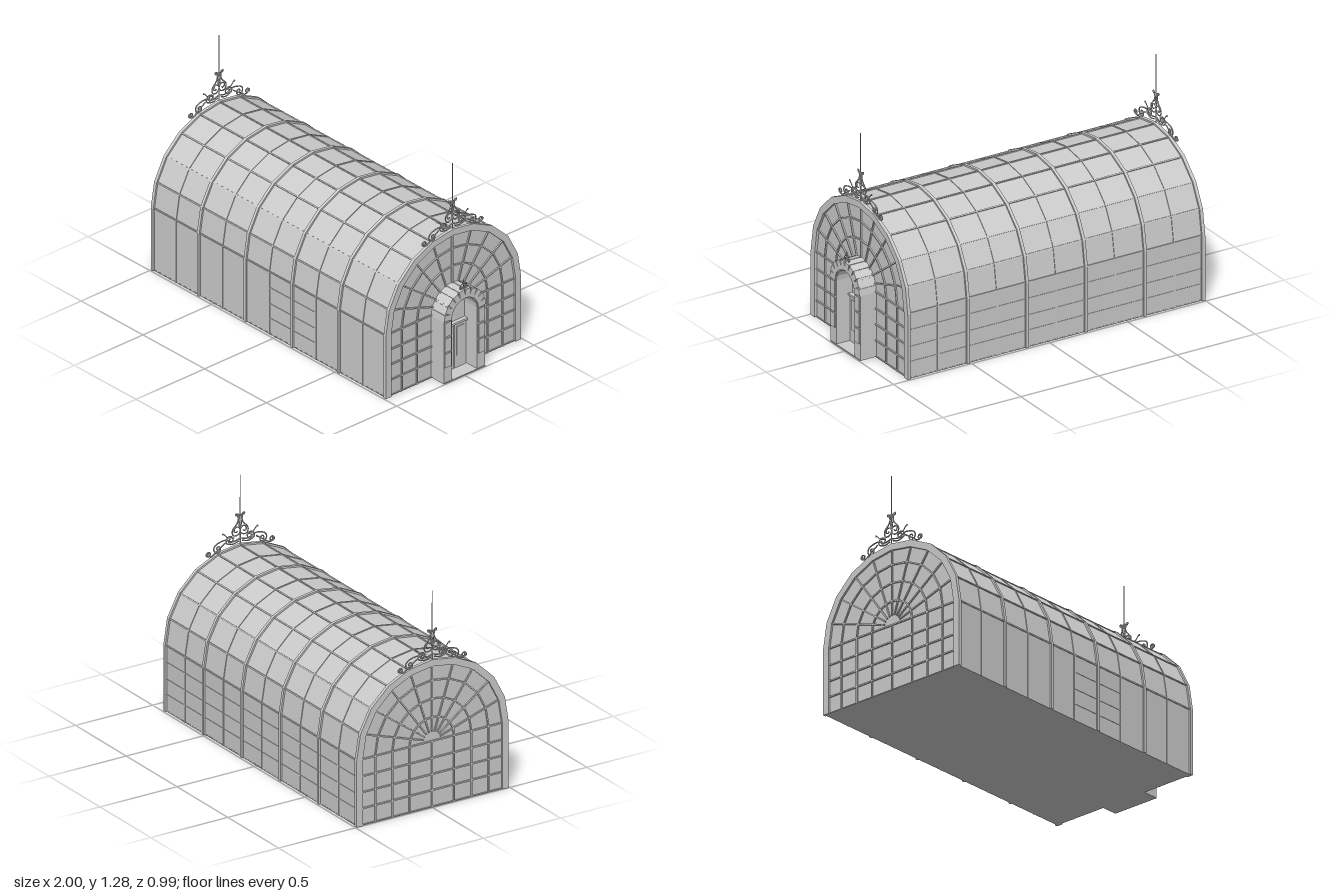
import * as THREE from 'three';

export function createModel() {
  const root = new THREE.Group();
  root.name = 'greenhouse';
  const paleGrey = new THREE.MeshStandardMaterial({ color: 0xcccccc });
  paleGrey.name = 'paleGrey';

  const group = (name, parent = root) => {
    const g = new THREE.Group();
    g.name = name;
    parent.add(g);
    return g;
  };
  const add = (geo, name, parent) => {
    const m = new THREE.Mesh(geo, paleGrey);
    m.name = name;
    parent.add(m);
    return m;
  };
  const box = (name, parent, x, y, z, w, h, d) => {
    const m = add(new THREE.BoxGeometry(w, h, d), name, parent);
    m.position.set(x, y, z);
    return m;
  };
  // bar between two [z, y] points in a plane of constant x
  const bar = (name, parent, x, a, b, width, depth) => {
    const dz = b[0] - a[0], dy = b[1] - a[1];
    const m = box(name, parent, x, (a[1] + b[1]) / 2, (a[0] + b[0]) / 2, depth, width, Math.hypot(dz, dy));
    m.rotation.x = -Math.atan2(dy, dz);
    return m;
  };
  // extrude a [z, y] section along x
  const extrudeX = (pts, hole, x0, x1) => {
    const shape = new THREE.Shape(pts.map(p => new THREE.Vector2(-p[0], p[1])));
    if (hole) shape.holes.push(new THREE.Path(hole.map(p => new THREE.Vector2(-p[0], p[1]))));
    const g = new THREE.ExtrudeGeometry(shape, { depth: x1 - x0, bevelEnabled: false });
    g.rotateY(Math.PI / 2);
    g.translate(x0, 0, 0);
    return g;
  };

  // Vault section: straight walls and a ten sided arch around [0, SPRING]
  const SPRING = 0.39, HALF = 0.483;
  const half = [[0.483, 0], [0.459, 0.15], [0.39, 0.283], [0.28, 0.388], [0.145, 0.452], [0, 0.474]];
  const arch = half.concat(half.slice(0, -1).reverse().map(([z, y]) => [-z, y]));
  const ring = f => arch.map(([z, y]) => [z * f, SPRING + y * f]);
  const outline = (d, foot = 0) => {
    const f = 1 + d / HALF;
    return [[HALF + d, foot], ...ring(f), [-HALF - d, foot]];
  };

  // Glazed body and floor
  add(extrudeX(outline(0), null, -0.988, 0.89), 'glazedVault', root);
  box('floor', root, -0.049, 0.003, 0, 1.89, 0.006, 0.968);

  // Ribs: broad at every second bay, broader frames at both ends
  const ribs = group('ribs');
  const band = (name, x0, x1, outer, inner) => {
    const o = outline(outer), i = outline(inner);
    add(extrudeX([...o, ...i.reverse()], null, x0, x1), name, ribs);
  };
  for (let i = 1; i < 10; i++) {
    const x = -0.995 + i * 0.189;
    if (i % 2) band('thinRib', x - 0.004, x + 0.004, 0.004, -0.01);
    else band('mainRib', x - 0.009, x + 0.009, 0.01, -0.01);
  }
  band('endFrame', -1, -0.98, 0.01, -0.03);
  band('endFrame', 0.886, 0.905, 0.01, -0.03);

  // Purlins along every fold of the vault
  const purlins = group('purlins');
  ring(1).forEach(([z, y]) => {
    const p = box('purlin', purlins, -0.05, y, z, 1.88, 0.008, 0.01);
    p.rotation.x = -Math.atan2(y - SPRING, z);
  });
  // Low glazing bars on the side walls
  for (const y of [0.1, 0.19, 0.29]) {
    box('sideBar', purlins, -0.05, y, -HALF, 1.88, 0.006, 0.005);
    box('sideBar', purlins, 0.14, y, HALF, 0.37, 0.006, 0.005);
  }

  // Fan tracery on both end walls
  for (const side of [-1, 1]) {
    const g = group(side > 0 ? 'frontGableTracery' : 'rearGableTracery');
    const x = side > 0 ? 0.893 : -0.991;
    const start = side > 0 ? 0.3 : 0.12;
    arch.forEach(([z, y]) => bar('fanRay', g, x,
      [z * start, SPRING + y * start], [z * 0.97, SPRING + y * 0.97], 0.008, 0.01));
    for (const f of [0.3, 0.53, 0.76]) {
      const r = ring(f);
      for (let i = 0; i < r.length - 1; i++) bar('fanRing', g, x, r[i], r[i + 1], 0.008, 0.01);
      for (const s of [-1, 1]) bar('mullion', g, x, [s * f * HALF, 0], [s * f * HALF, SPRING], 0.008, 0.01);
    }
    for (const y of [0.1, 0.195, 0.29, SPRING]) for (const s of [-1, 1])
      bar('transom', g, x, [s * (side > 0 ? 0.14 : 0), y], [s * 0.46, y], 0.008, 0.01);
    if (side < 0) bar('mullion', g, x, [0, 0], [0, SPRING], 0.008, 0.01);
  }

  // Arched porch
  const porch = group('porch');
  const archPath = (r, n) => {
    const p = [[r, 0]];
    for (let i = 0; i <= n; i++) {
      const a = i / n * Math.PI;
      p.push([Math.cos(a) * r, 0.385 + Math.sin(a) * r]);
    }
    return [...p, [-r, 0]];
  };
  add(extrudeX([...archPath(0.15, 10), ...archPath(0.092, 10).reverse()], null, 0.885, 0.993), 'porchArch', porch);
  box('threshold', porch, 0.94, 0.003, 0, 0.11, 0.006, 0.3);
  // raised blocks round the arch and up the jambs
  for (let i = 0; i < 10; i++) {
    const a = (i + 0.5) / 10 * Math.PI;
    const b = box('archBlock', porch, 0.949, 0.385 + Math.sin(a) * 0.124, Math.cos(a) * 0.124, 0.1, 0.036, 0.054);
    b.rotation.x = -a;
  }
  for (const s of [-1, 1]) for (const y of [0.143, 0.238, 0.335])
    box('jambBlock', porch, 0.949, y, s * 0.123, 0.1, 0.085, 0.046);

  // Double door with a transom
  const door = group('door');
  for (const s of [-1, 1]) {
    box('doorLeaf', door, 0.9, 0.142, s * 0.046, 0.016, 0.28, 0.086);
    box('doorPanel', door, 0.908, 0.17, s * 0.046, 0.008, 0.18, 0.055);
  }
  box('doorTransom', door, 0.905, 0.285, 0, 0.025, 0.012, 0.184);
  for (let i = 1; i < 6; i++) {
    const a = i / 6 * Math.PI;
    bar('fanlightBar', door, 0.895, [0, 0.385], [Math.cos(a) * 0.092, 0.385 + Math.sin(a) * 0.092], 0.006, 0.01);
  }

  // Wrought scrolls: a sweep through [z, y] points ending in a spiral
  const scroll = (parent, pts, curl, r, turn, k, thick) => {
    for (const s of [-1, 1]) {
      const path = pts.map(([z, y]) => new THREE.Vector3(0, y * k, s * z * k));
      const [pz, py] = pts[pts.length - 1];
      const a0 = Math.atan2(py - curl[1], pz - curl[0]);
      const r0 = Math.hypot(pz - curl[0], py - curl[1]);
      for (let i = 1; i <= 12; i++) {
        const a = a0 + turn * i / 12 * Math.PI * 2.6;
        const rr = r0 + (r - r0) * i / 12;
        path.push(new THREE.Vector3(0, (curl[1] + Math.sin(a) * rr) * k, s * (curl[0] + Math.cos(a) * rr) * k));
      }
      add(new THREE.TubeGeometry(new THREE.CatmullRomCurve3(path), 48, thick, 5), 'scroll', parent);
    }
  };
  for (const x of [-0.995, 0.896]) {
    const f = group('ridgeFinial');
    f.position.set(x, 0.87, 0);
    const rod = add(new THREE.CylinderGeometry(0.0025, 0.0035, 0.41, 6), 'spire', f);
    rod.position.y = 0.205;
    scroll(f, [[0, 0.035], [0.05, 0.025], [0.1, 0.045], [0.15, 0.035]], [0.145, 0.005], 0.006, -1, 1, 0.004);
    scroll(f, [[0.1, 0.028], [0.15, -0.005], [0.19, -0.03], [0.22, -0.02]], [0.205, -0.015], 0.005, 1, 1, 0.004);
    scroll(f, [[0.01, 0.02], [0.05, 0.01], [0.09, 0.025]], [0.065, 0.037], 0.006, 1, 1, 0.004);
    scroll(f, [[0.04, 0.045], [0.08, 0.055], [0.105, 0.08], [0.115, 0.085]], [0.112, 0.083], 0.002, 1, 1, 0.003);
    scroll(f, [[0.005, 0.18], [0.018, 0.13], [0.05, 0.09], [0.045, 0.06]], [0.025, 0.085], 0.006, -1, 1, 0.004);
    scroll(f, [[0.005, 0.1], [0.01, 0.14], [0.02, 0.18], [0.027, 0.185]], [0.021, 0.178], 0.003, -1, 1, 0.003);
  }

  // Small crest on the porch
  const crest = group('porchCrest');
  crest.position.set(0.985, 0.535, 0);
  scroll(crest, [[0.003, 0.15], [0.01, 0.1], [0.06, 0.06], [0.07, 0.02]], [0.04, 0.03], 0.006, -1, 0.37, 0.0025);
  const tip = add(new THREE.CylinderGeometry(0.0015, 0.002, 0.065, 6), 'crestRod', crest);
  tip.position.y = 0.032;

  return root;
}
